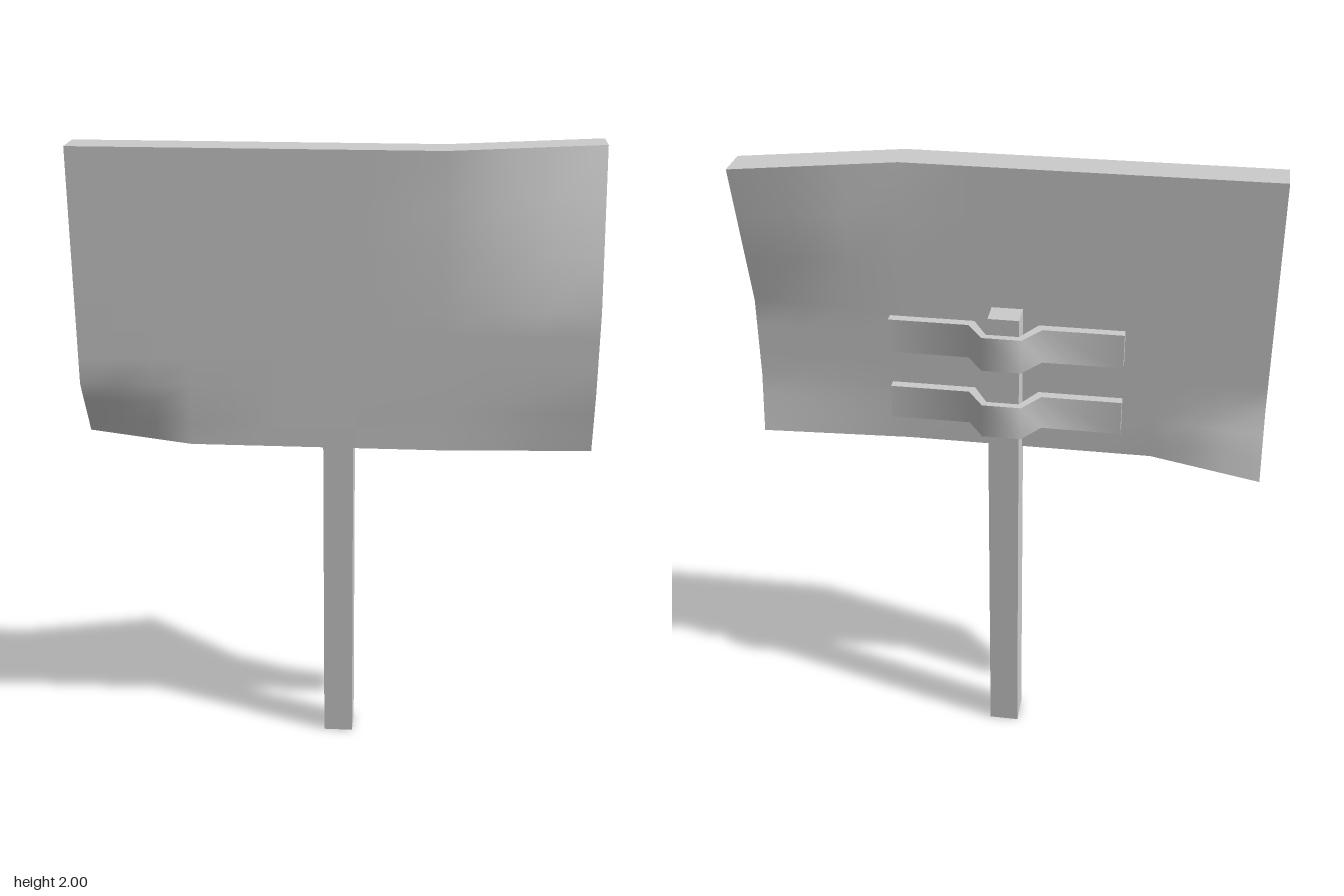
import * as THREE from 'three';
import { toCreasedNormals } from 'three/addons/utils/BufferGeometryUtils.js';

const material = new THREE.MeshStandardMaterial({ color: 0xcccccc });
const openMaterial = new THREE.MeshStandardMaterial({ color: 0xcccccc, side: THREE.DoubleSide });

// Zone borders of the panel: flat middle, bendable corners
const XS = [-0.79, -0.45, 0.32, 0.79];
const YS = [1.08, 1.27, 1.53, 2.0];
const STEPS = 3;

// Map an even 0..1 parameter onto the zone borders
function spread(t, stops) {
  const u = t * 3;
  const i = Math.min(2, Math.floor(u + 1e-6));
  return THREE.MathUtils.lerp(stops[i], stops[i + 1], u - i);
}

// How far a panel point is pushed back by the bent corners
function bend(x, y) {
  const left = Math.max(0, (x - XS[2]) / (XS[3] - XS[2]));
  const right = Math.max(0, (XS[1] - x) / (XS[1] - XS[0]));
  const top = Math.max(0, (y - YS[2]) / (YS[3] - YS[2]));
  const bottom = Math.max(0, (YS[1] - y) / (YS[1] - YS[0]));
  return 0.13 * left * top + 0.1 * right * bottom + 0.027 * left * bottom;
}

function makePanel() {
  const g = new THREE.BoxGeometry(1, 1, 0.11, 3 * STEPS, 3 * STEPS, 1);
  const p = g.attributes.position;
  for (let i = 0; i < p.count; i++) {
    const x = spread(p.getX(i) + 0.5, XS);
    const y = spread(p.getY(i) + 0.5, YS);
    p.setXYZ(i, x, y, p.getZ(i) + 0.065 - bend(x, y));
  }
  g.computeVertexNormals();
  const mesh = new THREE.Mesh(g, material);
  mesh.name = 'signPanel';
  return mesh;
}

// Square post, open at the foot
function makePost() {
  const g = new THREE.BoxGeometry(0.095, 1.56, 0.1);
  const index = Array.from(g.index.array);
  index.splice(18, 6);
  g.setIndex(index);
  g.clearGroups();
  g.translate(0.003, 0.78, -0.02);
  const mesh = new THREE.Mesh(g, openMaterial);
  mesh.name = 'post';
  return mesh;
}

// Strap with a hump around the post, profile drawn as (x, -z)
function makeClamp(y) {
  const outer = [[0.36, 0.02], [0.113, 0.02], [0.06, 0.098]];
  const inner = [[0.05, 0.075], [0.1, -0.012], [0.36, -0.012]];
  const mirror = (pts) => pts.map(([x, z]) => [-x, z]).reverse();
  const pts = [...outer, ...mirror(outer), ...mirror(inner), ...inner];
  const shape = new THREE.Shape(pts.map(([x, z]) => new THREE.Vector2(x + 0.005, z)));
  let g = new THREE.ExtrudeGeometry(shape, { depth: 0.11, bevelEnabled: false });
  g.rotateX(-Math.PI / 2);
  g = toCreasedNormals(g, 1.0);
  const mesh = new THREE.Mesh(g, material);
  mesh.position.y = y;
  mesh.name = 'clamp';
  return mesh;
}

export function createModel() {
  const group = new THREE.Group();
  group.name = 'signpost';
  group.add(makePanel(), makePost());
  for (const y of [1.17, 1.4]) group.add(makeClamp(y));
  return group;
}
